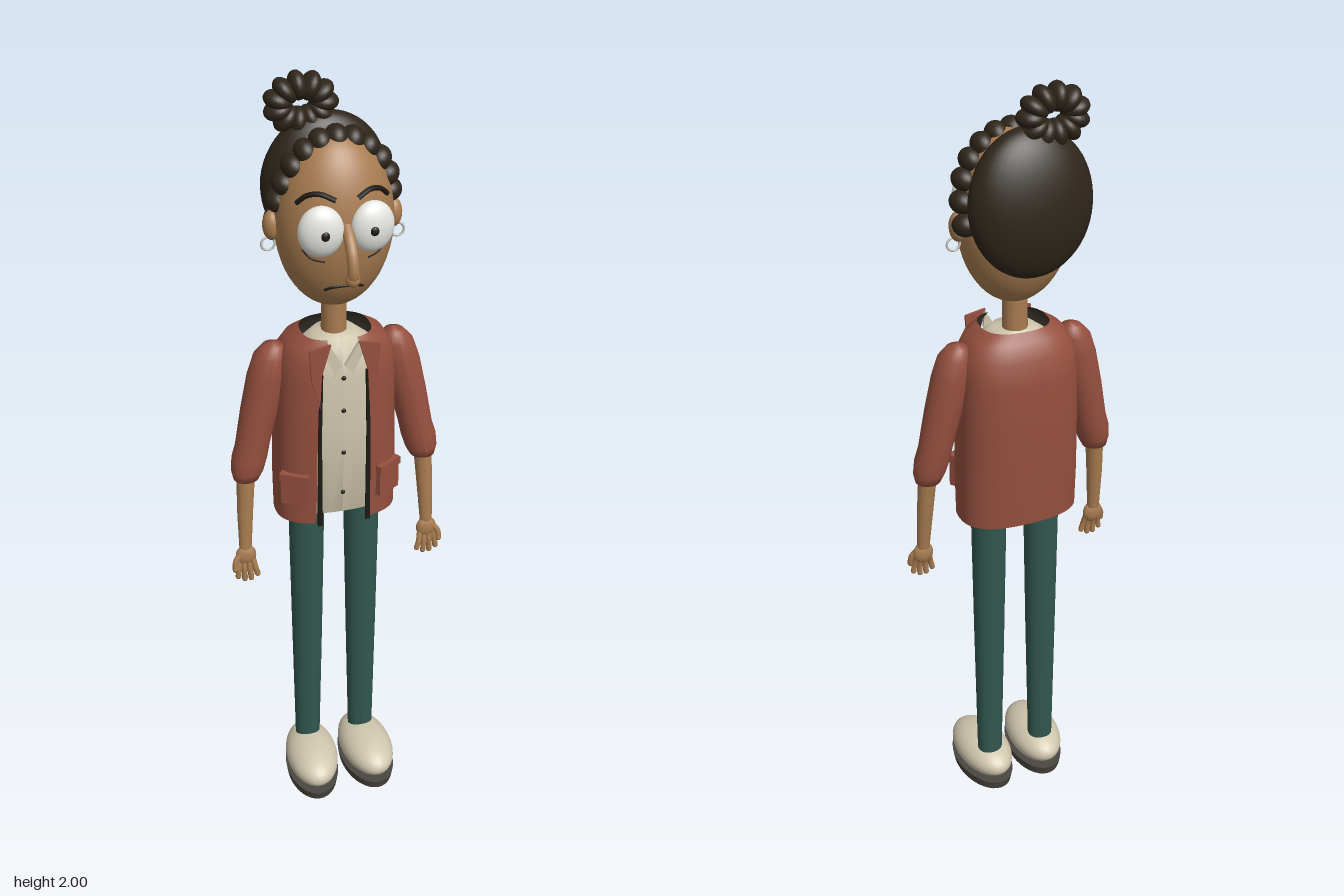
import * as THREE from 'three';

const mat = (name, color, side = THREE.FrontSide) => {
  const m = new THREE.MeshStandardMaterial({ color, side });
  m.name = name;
  return m;
};

export function createModel() {
  const model = new THREE.Group();
  const skin = mat('skin', 0xa87c50), hair = mat('dark brown hair', 0x2e251a);
  const red = mat('rust jacket', 0x96503f), lining = mat('dark lining', 0x3a342c, THREE.BackSide);
  const cream = mat('cream', 0xd0c7ae), teal = mat('teal trousers', 0x32574f);
  const white = mat('eye white', 0xe6e6e2), dark = mat('near black', 0x1e1a14);
  const soleGrey = mat('sole grey', 0x4a4640), silver = mat('earring silver', 0xc4c4c0);

  const add = (name, geo, material, x = 0, y = 0, z = 0, parent = model) => {
    const m = new THREE.Mesh(geo, material);
    m.name = name;
    m.position.set(x, y, z);
    parent.add(m);
    return m;
  };
  const ball = (name, material, p, r, parent = model, seg = 24) => {
    const m = add(name, new THREE.SphereGeometry(1, seg, Math.round(seg * 0.7)), material, ...p, parent);
    m.scale.set(...r);
    return m;
  };
  const tube = (name, material, pts, r, parent = model) => add(name, new THREE.TubeGeometry(
    new THREE.CatmullRomCurve3(pts.map(p => new THREE.Vector3(...p))), 16, r, 8), material, 0, 0, 0, parent);
  // Tapered limb: rings [x, y, z, rx, rz] swept top to bottom and closed by the end rings
  const limb = (name, material, rings, parent = model, n = 24) => {
    const pos = [], idx = [];
    rings.forEach(([x, y, z, rx, rz], i) => {
      for (let j = 0; j <= n; j++) {
        const a = j / n * Math.PI * 2;
        pos.push(x + rx * Math.sin(a), y, z + rz * Math.cos(a));
        if (i && j) {
          const q = i * (n + 1) + j, p = q - n - 1;
          idx.push(p - 1, q - 1, p, p, q - 1, q);
        }
      }
    });
    const g = new THREE.BufferGeometry();
    g.setAttribute('position', new THREE.Float32BufferAttribute(pos, 3));
    g.setIndex(idx);
    g.computeVertexNormals();
    return add(name, g, material, 0, 0, 0, parent);
  };

  // Head and neck
  const headY = 1.675, headZ = -0.01, hr = [0.141, 0.215, 0.12];
  ball('head', skin, [0, headY, headZ], hr, model, 40);
  const faceZ = (x, y) => headZ + hr[2] * Math.sqrt(Math.max(0, 1 - (x / hr[0]) ** 2 - ((y - headY) / hr[1]) ** 2));
  const onFace = (pts, lift = 0.001) => pts.map(([x, y]) => [x, y, faceZ(x, y) + lift]);
  add('neck', new THREE.CylinderGeometry(0.03, 0.032, 0.16, 20), skin, 0, 1.42, -0.012);
  tube('mouth', dark, onFace([[-0.046, 1.537], [-0.03, 1.545], [0, 1.548], [0.03, 1.545], [0.046, 1.537]]), 0.0035);
  tube('nose', skin, [[0, 1.70, 0.1], [0, 1.68, 0.125], [0, 1.65, 0.149], [0, 1.61, 0.159], [0, 1.594, 0.154]], 0.014);
  ball('noseTip', skin, [0, 1.594, 0.154], [0.017, 0.018, 0.016]);

  for (const s of [-1, 1]) {
    // Face details
    const eye = ball('eye', white, [s * 0.06, 1.695, 0.1], [0.053, 0.061, 0.031]);
    eye.rotation.y = s * 0.12;
    ball('pupil', dark, [s * 0.057, 1.695, 0.131], [0.01, 0.011, 0.005]);
    tube('eyebrow', dark, onFace([[s * 0.106, 1.752], [s * 0.085, 1.772], [s * 0.058, 1.778], [s * 0.025, 1.765]], 0.003), 0.006);
    tube('eyeBag', dark, onFace([[s * 0.098, 1.645], [s * 0.08, 1.625], [s * 0.05, 1.618]]), 0.002);
    ball('ear', skin, [s * 0.146, 1.67, -0.02], [0.021, 0.036, 0.024]);
    add('earring', new THREE.TorusGeometry(0.016, 0.003, 8, 24), silver, s * 0.156, 1.627, -0.015);
  }

  // Back hair, bun of beads and braid across the crown
  const back = ball('backHair', hair, [0, 1.732, -0.1], [0.152, 0.175, 0.072], model, 40);
  back.rotation.x = 0.1;
  for (let i = 0; i < 11; i++) {
    const a = i / 11 * Math.PI * 2;
    const b = ball('bunBead', hair, [-0.055 + 0.055 * Math.cos(a), 1.925 + 0.042 * Math.sin(a), -0.095], [0.034, 0.022, 0.036]);
    b.rotation.z = a;
  }
  for (let i = 0; i < 13; i++) {
    const a = -0.12 + i / 12 * (Math.PI + 0.24), low = Math.max(0, 0.55 - Math.sin(a));
    const b = ball('braidBead', hair,
      [0.003 + 0.132 * Math.cos(a), 1.7 + 0.172 * Math.sin(a), -0.055 * low], [0.032, 0.028, 0.035]);
    b.rotation.z = a;
  }

  // Torso rows: y, half width, front z, back z, half width of the front opening
  const rows = [
    [0.885, 0.155, 0.08, -0.113, 0.07], [1.0, 0.156, 0.086, -0.12, 0.068], [1.15, 0.153, 0.09, -0.126, 0.066],
    [1.28, 0.15, 0.09, -0.126, 0.062], [1.34, 0.144, 0.087, -0.116, 0.054], [1.38, 0.12, 0.08, -0.095, 0.045],
    [1.4, 0.086, 0.07, -0.074, 0.036]];
  const shell = (rs, n, closed) => {
    const pos = [], idx = [], p = 0.78;
    rs.forEach(([y, rx, zf, zb, gap], i) => {
      const a0 = closed ? 0 : Math.asin((gap / rx) ** (1 / p));
      for (let j = 0; j <= n; j++) {
        const a = a0 + j / n * (Math.PI * 2 - 2 * a0), s = Math.sin(a), c = Math.cos(a);
        pos.push(rx * Math.sign(s) * Math.abs(s) ** p, y,
          (zf + zb) / 2 + (zf - zb) / 2 * Math.sign(c) * Math.abs(c) ** p);
        if (i && j) {
          const q = i * (n + 1) + j, d = q - n - 1;
          idx.push(d - 1, d, q, d - 1, q, q - 1);
        }
      }
    });
    const g = new THREE.BufferGeometry();
    g.setAttribute('position', new THREE.Float32BufferAttribute(pos, 3));
    g.setIndex(idx);
    g.computeVertexNormals();
    return g;
  };
  const jacket = shell(rows, 48, false);
  add('jacket', jacket, red);
  add('jacketLining', jacket, lining);

  // Shirt with collar, buttons and closed ends
  add('shirt', shell([
    [0.91, 0.001, -0.01, -0.012], [0.91, 0.135, 0.073, -0.1], [1.15, 0.135, 0.082, -0.11], [1.3, 0.125, 0.08, -0.1],
    [1.36, 0.09, 0.068, -0.07], [1.39, 0.05, 0.045, -0.055], [1.39, 0.001, -0.01, -0.012]], 40, true), cream);
  for (const y of [0.97, 1.09, 1.21, 1.3]) ball('button', dark, [0, y, 0.081 - (y < 1 ? 0.005 : 0)], [0.006, 0.006, 0.004], model, 12);

  const plate = (name, material, pts, depth, z, s) => {
    const shape = new THREE.Shape(pts.map(([x, y]) => new THREE.Vector2(s * x, y)));
    return add(name, new THREE.ExtrudeGeometry(shape, { depth, bevelEnabled: false }), material, 0, 0, z);
  };

  for (const s of [-1, 1]) {
    // Collar, lapel, dark front edge and pocket
    plate('shirtCollar', cream, [[0.002, 1.335], [0.04, 1.4], [0.045, 1.36], [0.022, 1.31]], 0.008, 0.075, s);
    plate('lapel', red, [[0.034, 1.4], [0.088, 1.39], [0.082, 1.31], [0.062, 1.23], [0.057, 1.32]], 0.007, 0.086, s);
    plate('frontEdge', dark, [[0.056, 0.885], [0.068, 0.885], [0.066, 1.15], [0.06, 1.32], [0.053, 1.32], [0.057, 1.15]], 0.006, 0.083, s);
    const pocket = add('pocket', new THREE.BoxGeometry(0.07, 0.075, 0.025), red, s * 0.117, 0.985, 0.058);
    pocket.rotation.y = s * 0.55;
    const flap = add('pocketFlap', new THREE.BoxGeometry(0.074, 0.02, 0.032), red, s * 0.117, 1.025, 0.058);
    flap.rotation.y = s * 0.55;

    // Sleeve with rolled cuff
    const arm = new THREE.Group();
    arm.name = 'arm';
    model.add(arm);
    limb('sleeve', red, [
      [s * 0.15, 1.372, -0.012, 0.001, 0.001], [s * 0.152, 1.365, -0.012, 0.025, 0.026], [s * 0.157, 1.34, -0.012, 0.043, 0.041],
      [s * 0.167, 1.29, -0.011, 0.05, 0.046], [s * 0.189, 1.2, -0.009, 0.047, 0.046], [s * 0.211, 1.1, -0.005, 0.043, 0.042],
      [s * 0.22, 1.065, -0.003, 0.045, 0.041], [s * 0.227, 1.03, 0, 0.041, 0.038], [s * 0.231, 1.005, 0, 0.032, 0.03],
      [s * 0.231, 1.0, 0, 0.001, 0.001]], arm);
    // Forearm, palm and fingers
    limb('forearm', skin, [[s * 0.231, 1.03, 0, 0.024, 0.022], [s * 0.238, 0.92, 0.008, 0.021, 0.019],
      [s * 0.243, 0.8, 0.018, 0.016, 0.014]], arm, 16);
    ball('palm', skin, [s * 0.243, 0.782, 0.021], [0.027, 0.03, 0.015], arm);
    for (let i = 0; i < 4; i++) {
      const x = 0.226 + i * 0.012, tip = 0.216 + i * 0.017, len = i === 0 || i === 3 ? 0.725 : 0.715;
      tube('finger', skin, [[s * x, 0.775, 0.022], [s * (x + tip) / 2, 0.745, 0.03], [s * tip, len, 0.031]], 0.0075, arm);
      ball('fingertip', skin, [s * tip, len, 0.031], [0.0075, 0.0075, 0.0075], arm, 10);
    }
    tube('thumb', skin, [[s * 0.258, 0.79, 0.024], [s * 0.272, 0.77, 0.03], [s * 0.274, 0.75, 0.034]], 0.008, arm);
    ball('thumbTip', skin, [s * 0.274, 0.75, 0.034], [0.008, 0.009, 0.008], arm, 10);

    // Trouser leg and shoe
    limb('trouserLeg', teal, [[s * 0.073, 0.98, -0.013, 0.048, 0.044], [s * 0.075, 0.5, -0.013, 0.041, 0.037],
      [s * 0.077, 0.1, -0.014, 0.034, 0.031]]);
    const shoe = ball('shoe', cream, [s * 0.079, 0.067, 0.038], [0.071, 0.053, 0.125], model, 32);
    shoe.rotation.y = s * 0.06;
    const sole = add('sole', new THREE.CylinderGeometry(1, 0.95, 0.026, 36), soleGrey, s * 0.079, 0.017, 0.038);
    sole.scale.set(0.072, 1, 0.127);
    sole.rotation.y = s * 0.06;
  }
  return model;
}
